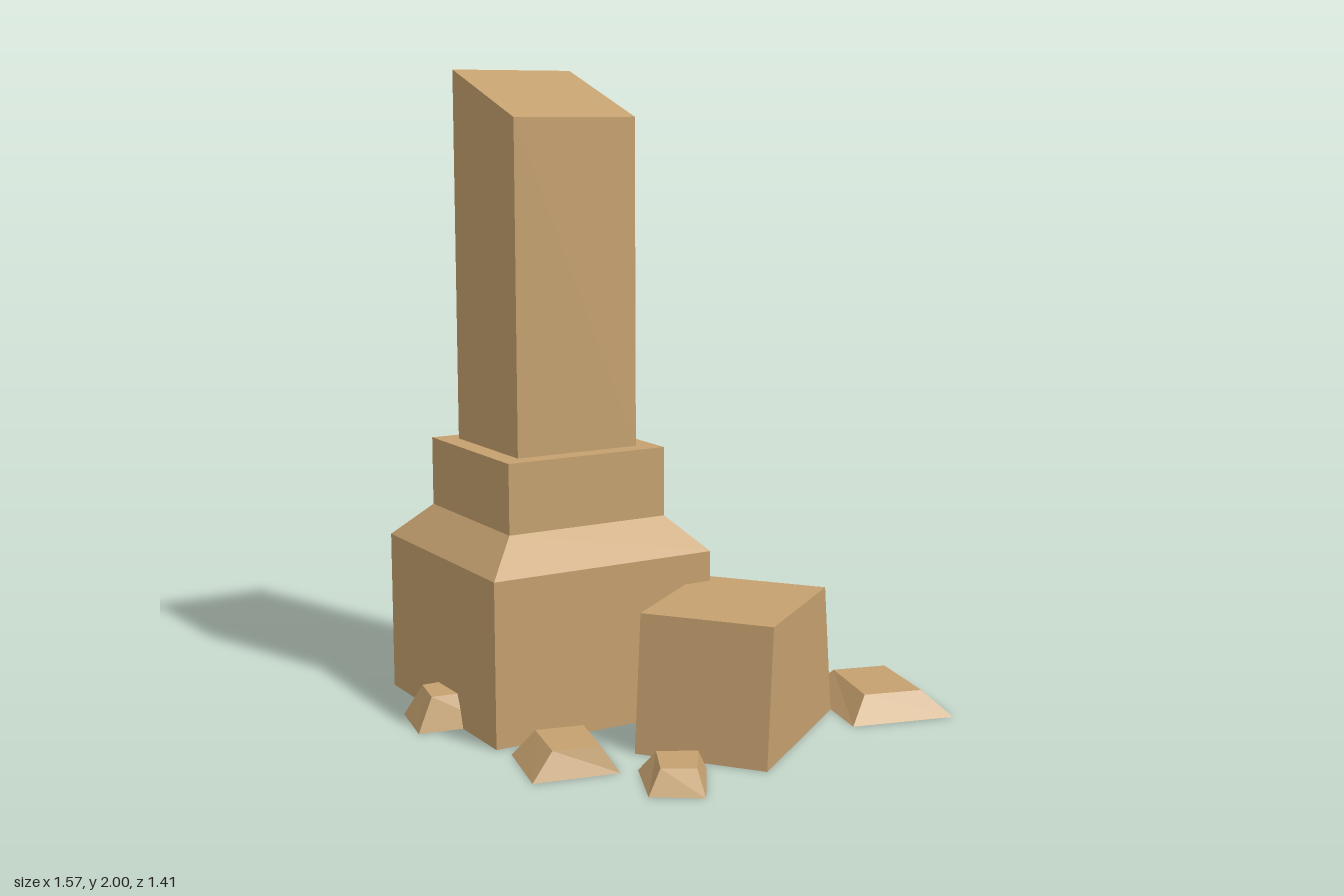
import * as THREE from 'three';

const sandstone = new THREE.MeshStandardMaterial({ color: 0xc4a06e, side: THREE.DoubleSide });
sandstone.name = 'sandstone';

// Skins four-cornered rings from bottom to top; corners run clockwise seen from above.
// The underside stays open; the top ring is closed when capped.
function loft(name, rings, capped = true) {
  const pos = [];
  const tri = (...pts) => pts.forEach((p) => pos.push(...p));
  for (let r = 0; r < rings.length - 1; r++) {
    const a = rings[r], b = rings[r + 1];
    for (let i = 0; i < 4; i++) {
      const j = (i + 1) % 4;
      tri(a[i], b[i], b[j]);
      tri(a[i], b[j], a[j]);
    }
  }
  if (capped) {
    const t = rings[rings.length - 1];
    tri(t[0], t[2], t[1]);
    tri(t[0], t[3], t[2]);
  }
  const geo = new THREE.BufferGeometry();
  geo.setAttribute('position', new THREE.Float32BufferAttribute(pos, 3));
  geo.computeVertexNormals();
  const mesh = new THREE.Mesh(geo, sandstone);
  mesh.name = name;
  return mesh;
}

// Square ring around the pillar axis; the front edge may sit at another height.
const CX = -0.274, CZ = -0.333;
const square = (half, yBack, yFront = yBack) => [
  [CX - half, yBack, CZ - half], [CX + half, yBack, CZ - half],
  [CX + half, yFront, CZ + half], [CX - half, yFront, CZ + half],
];

// Ring from four [x, z] corners at one height.
const ring = (corners, y) => corners.map(([x, z]) => [x, y, z]);

export function createModel() {
  const model = new THREE.Group();
  model.name = 'ruinedPillar';

  // Standing pillar: chamfered base, plinth with ledge, shaft broken at a slant
  const pillar = new THREE.Group();
  pillar.name = 'pillar';
  pillar.add(
    loft('base', [square(0.376, 0), square(0.376, 0.51), square(0.271, 0.617)], false),
    loft('plinth', [square(0.271, 0.617), square(0.271, 0.835), square(0.207, 0.835)], false),
    loft('shaft', [square(0.207, 0.835), square(0.207, 2, 1.855)]),
  );
  model.add(pillar);

  // Fallen block, tapered along its length only
  model.add(loft('fallenBlock', [
    ring([[-0.317, 0.285], [0.172, -0.077], [0.418, 0.258], [-0.073, 0.618]], 0),
    ring([[-0.28, 0.258], [0.112, -0.033], [0.36, 0.3], [-0.034, 0.59]], 0.415),
  ]));

  // Rubble: height, ground corners, top corners
  const rubble = [
    [0.077, [[0.47, 0.052], [0.784, 0.152], [0.7, 0.518], [0.378, 0.43]],
      [[0.53, 0.122], [0.7, 0.172], [0.635, 0.44], [0.455, 0.385]]],
    [0.077, [[-0.63, 0.102], [-0.37, 0.152], [-0.435, 0.405], [-0.69, 0.35]],
      [[-0.572, 0.143], [-0.43, 0.178], [-0.478, 0.368], [-0.615, 0.33]]],
    [0.066, [[-0.38, 0.41], [-0.205, 0.502], [-0.335, 0.702], [-0.465, 0.61]],
      [[-0.35, 0.46], [-0.243, 0.517], [-0.325, 0.64], [-0.413, 0.588]]],
    [0.102, [[0.485, -0.668], [0.755, -0.628], [0.722, -0.43], [0.475, -0.42]],
      [[0.52, -0.63], [0.7, -0.606], [0.68, -0.478], [0.52, -0.473]]],
    [0.102, [[-0.747, -0.41], [-0.54, -0.41], [-0.55, -0.165], [-0.786, -0.212]],
      [[-0.705, -0.36], [-0.59, -0.36], [-0.595, -0.215], [-0.732, -0.232]]],
  ];
  rubble.forEach(([h, ground, top], i) => {
    model.add(loft(`rubble${i + 1}`, [ring(ground, 0), ring(top, h)]));
  });

  return model;
}
